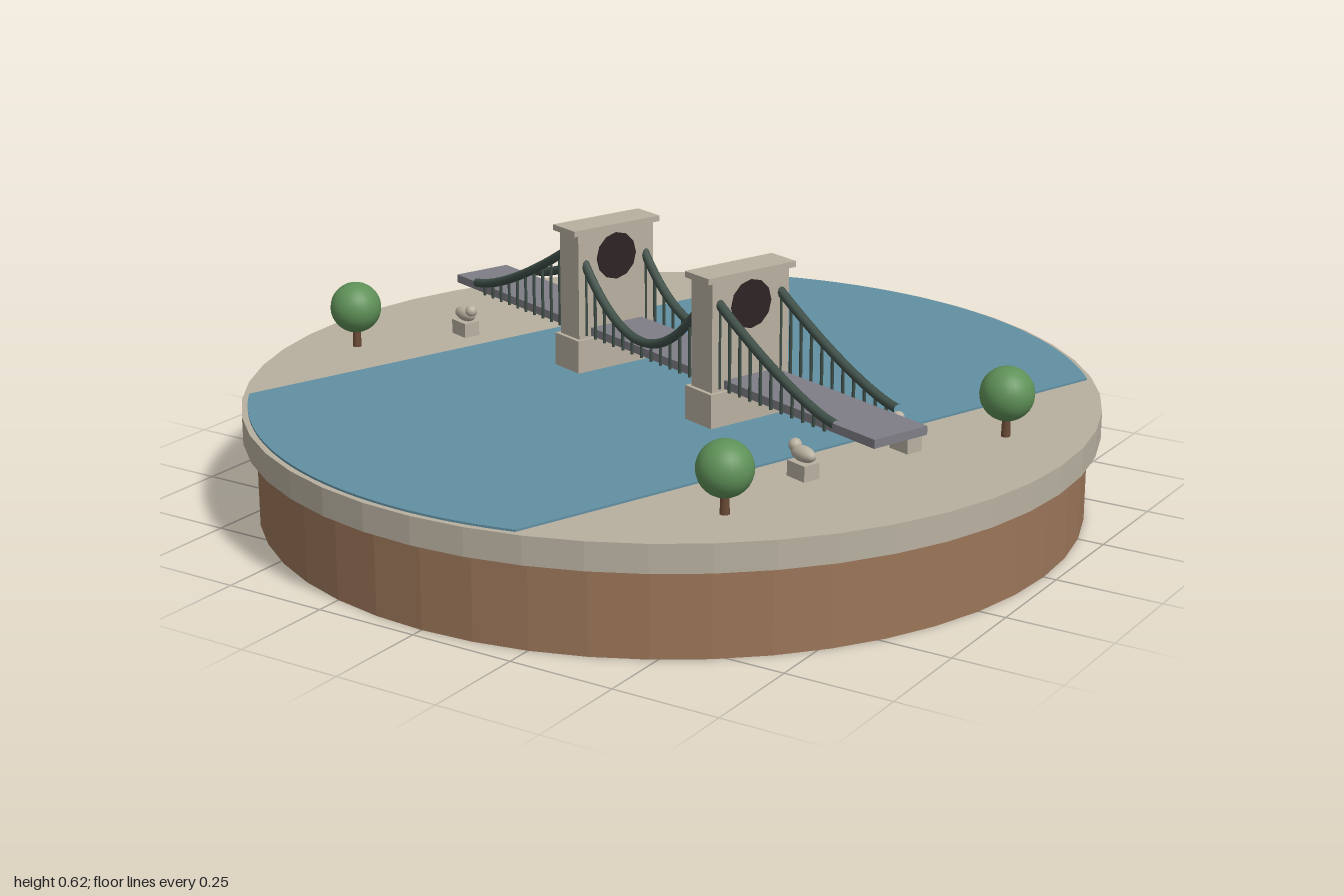
import * as THREE from 'three';

const mat = (name, color, flat = false) => {
  const m = new THREE.MeshStandardMaterial({ color, flatShading: flat });
  m.name = name;
  return m;
};

export function createModel() {
  const stone = mat('stone', 0xb8b0a0, true);
  const soil = mat('soil', 0x9b7558, true);
  const water = mat('water', 0x6290a2);
  const road = mat('road', 0x7f7e86);
  const iron = mat('iron', 0x3f4f48);
  const dark = mat('opening', 0x2e2424);
  const leaf = mat('leaf', 0x5f9158);
  const bark = mat('bark', 0x6a4a35);
  const smoothStone = mat('statueStone', 0xb8b0a0);

  const model = new THREE.Group();
  model.name = 'bridgeDiorama';
  const add = (parent, name, geo, material, x = 0, y = 0, z = 0) => {
    const m = new THREE.Mesh(geo, material);
    m.name = name;
    m.position.set(x, y, z);
    parent.add(m);
    return m;
  };

  // Round base
  const GROUND = 0.265;
  add(model, 'soilBase', new THREE.CylinderGeometry(0.97, 0.97, 0.2, 48), soil, 0, 0.1, 0);
  add(model, 'stoneTop', new THREE.CylinderGeometry(1, 1, 0.065, 48), stone, 0, 0.2325, 0);

  // Everything aligned with the bridge lives in one turned group
  const site = new THREE.Group();
  site.name = 'bridgeSite';
  site.rotation.y = -THREE.MathUtils.degToRad(20);
  model.add(site);

  // River: a disc trimmed by two straight banks
  const R = 0.985, a = Math.acos(0.55 / R);
  const riverShape = new THREE.Shape();
  riverShape.absarc(0, 0, R, a, Math.PI - a, false);
  riverShape.absarc(0, 0, R, Math.PI + a, 2 * Math.PI - a, false);
  const riverGeo = new THREE.ExtrudeGeometry(riverShape, { depth: 0.005, bevelEnabled: false, curveSegments: 24 });
  riverGeo.rotateX(-Math.PI / 2);
  add(site, 'river', riverGeo, water, 0, GROUND, 0);

  // Deck
  add(site, 'deck', new THREE.BoxGeometry(1.6, 0.02, 0.15), road, 0, 0.364, 0);

  // Towers
  const TOWER = 0.255;
  for (const s of [-1, 1]) {
    const tower = new THREE.Group();
    tower.name = 'tower';
    tower.position.x = s * TOWER;
    site.add(tower);
    add(tower, 'pier', new THREE.BoxGeometry(0.095, 0.085, 0.24), stone, 0, GROUND + 0.0425, 0);
    add(tower, 'shaft', new THREE.BoxGeometry(0.075, 0.26, 0.22), stone, 0, 0.478, 0);
    add(tower, 'cap', new THREE.BoxGeometry(0.086, 0.014, 0.25), stone, 0, 0.612, 0);
    const opening = add(tower, 'roundOpening', new THREE.CylinderGeometry(0.057, 0.057, 0.08, 12), dark, 0, 0.54, 0);
    opening.rotation.z = Math.PI / 2;
  }

  // Cable height along the bridge: parabola in the middle, sagging side spans
  const END = 0.69, TOP = 0.575;
  const cableY = (x) => {
    const d = Math.abs(x);
    if (d <= TOWER) return 0.395 + (TOP - 0.395) * (d / TOWER) ** 2;
    return 0.38 + (TOP - 0.38) * (Math.max(0, END - d) / (END - TOWER)) ** 1.4;
  };
  const spans = [[-END, -TOWER], [-TOWER, TOWER], [TOWER, END]];
  const hangerGeo = new THREE.CylinderGeometry(0.004, 0.004, 1, 6);
  for (const z of [-0.088, 0.088]) {
    for (const [x0, x1] of spans) {
      const points = [];
      for (let i = 0; i <= 12; i++) {
        const x = x0 + (x1 - x0) * i / 12;
        points.push(new THREE.Vector3(x, cableY(x), z));
      }
      const curve = new THREE.CatmullRomCurve3(points);
      add(site, 'cable', new THREE.TubeGeometry(curve, 28, 0.011, 8), iron);

      // Vertical hangers
      const n = Math.round((x1 - x0) / 0.037);
      for (let i = 1; i < n; i++) {
        const x = x0 + (x1 - x0) * i / n;
        if (Math.abs(Math.abs(x) - TOWER) < 0.035) continue;
        const h = cableY(x) - 0.356;
        add(site, 'hanger', hangerGeo, iron, x, 0.356 + h / 2, z).scale.y = h;
      }
    }
  }

  // Statues at the four bridge approaches, facing the river
  const ball = new THREE.SphereGeometry(1, 16, 12);
  for (const sx of [-1, 1]) for (const sz of [-1, 1]) {
    const statue = new THREE.Group();
    statue.name = 'statue';
    statue.position.set(sx * 0.655, GROUND, sz * 0.147);
    statue.rotation.y = sx > 0 ? Math.PI : 0;
    site.add(statue);
    add(statue, 'pedestal', new THREE.BoxGeometry(0.058, 0.036, 0.042), stone, 0, 0.018, 0);
    add(statue, 'body', ball, smoothStone, 0, 0.053, 0).scale.set(0.037, 0.018, 0.018);
    add(statue, 'head', ball, smoothStone, 0.027, 0.066, 0).scale.setScalar(0.015);
  }

  // Trees
  const crownGeo = new THREE.SphereGeometry(0.062, 24, 16);
  const trunkGeo = new THREE.CylinderGeometry(0.009, 0.011, 0.06, 8);
  for (const [x, z] of [[-0.555, -0.61], [0.812, -0.112], [-0.83, 0.14], [0.54, 0.64]]) {
    const tree = new THREE.Group();
    tree.name = 'tree';
    tree.position.set(x, GROUND, z);
    model.add(tree);
    add(tree, 'trunk', trunkGeo, bark, 0, 0.03, 0);
    add(tree, 'crown', crownGeo, leaf, 0, 0.1, 0);
  }
  return model;
}
